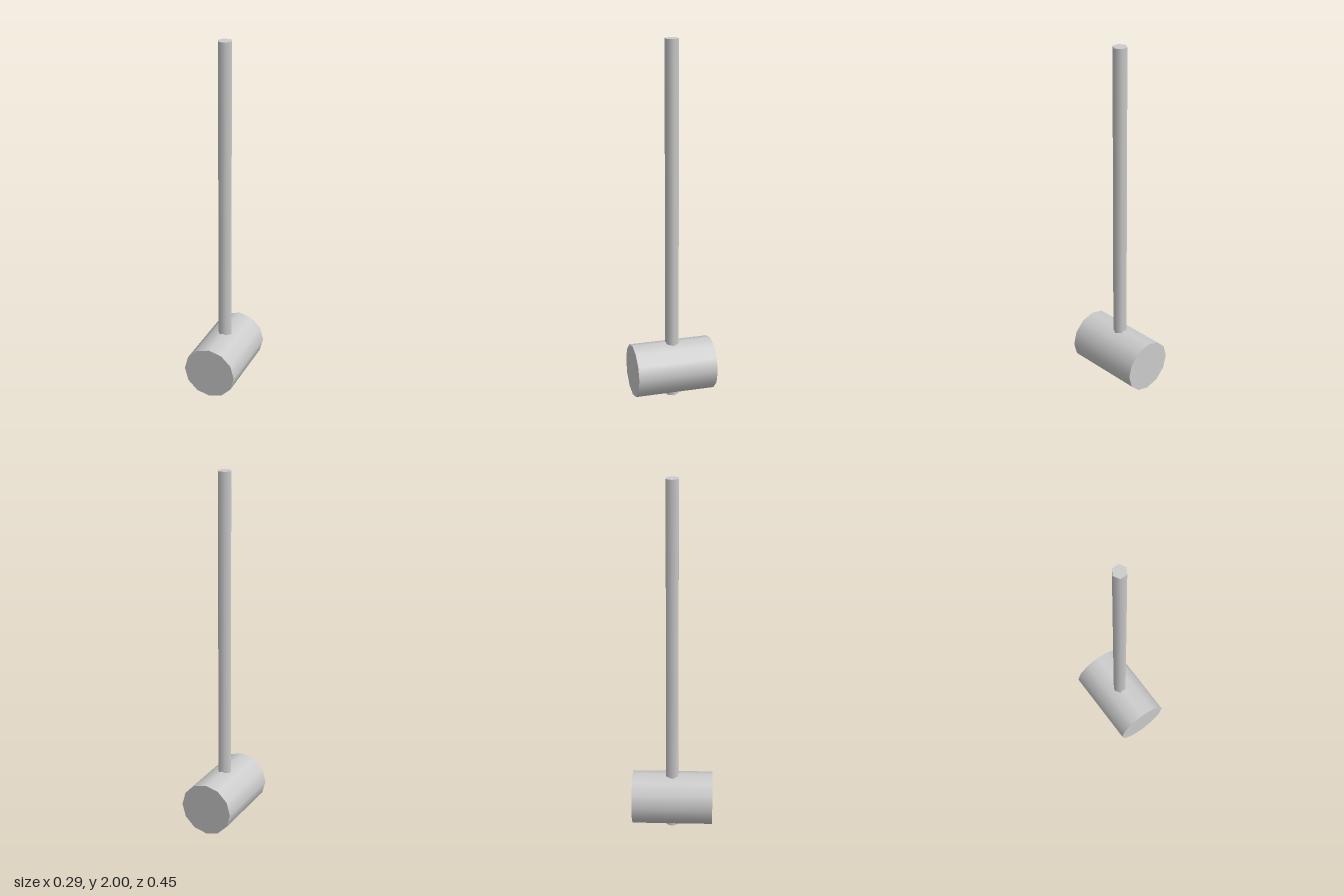
import * as THREE from 'three';

export function createModel() {
  const group = new THREE.Group();
  const material = new THREE.MeshStandardMaterial({ color: 0xcccccc, side: THREE.DoubleSide });

  const add = (name, geometry, x, y, z) => {
    const mesh = new THREE.Mesh(geometry, material);
    mesh.name = name;
    mesh.position.set(x, y, z);
    group.add(mesh);
  };

  // Twelve-sided mallet head lying along z
  add('head', new THREE.CylinderGeometry(0.147, 0.147, 0.448, 12).rotateX(Math.PI / 2), 0, 0.165, 0);

  // Six-sided handle passing through the head, corners on the x axis, open at its foot
  const radius = 0.0385;
  add('handle', new THREE.CylinderGeometry(radius, radius, 2, 6, 1, true, Math.PI / 2), 0, 1, -0.002);
  add('handleTop', new THREE.CircleGeometry(radius, 6).rotateX(-Math.PI / 2), 0, 2, -0.002);

  return group;
}
